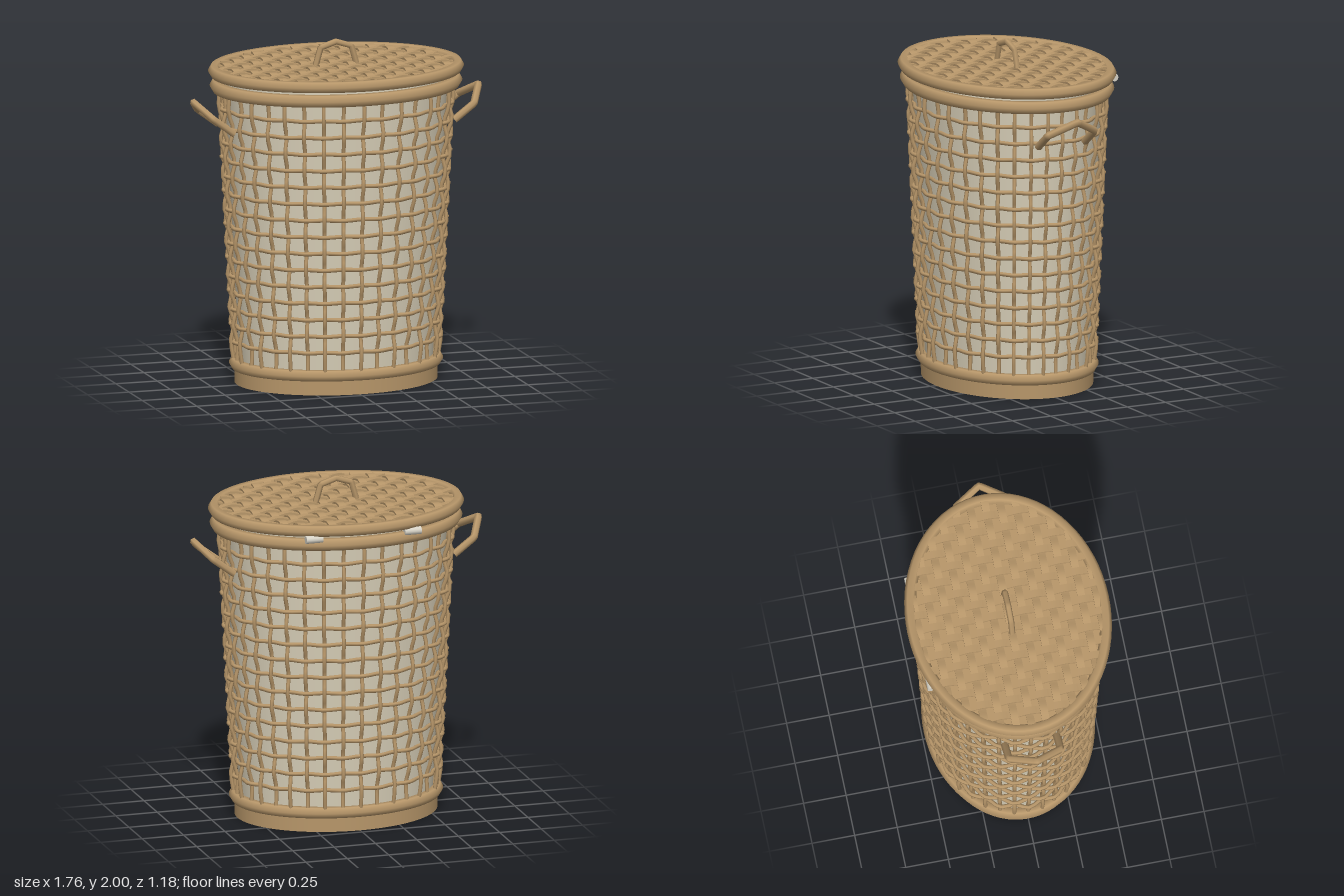
import * as THREE from 'three';
import { mergeGeometries, mergeVertices } from 'three/addons/utils/BufferGeometryUtils.js';

const V = (x, y, z) => new THREE.Vector3(x, y, z);
const RATIO = 0.78;                       // depth of the oval against its width
const STAKES = 36, ROWS = 15, WAVE = 0.012, ROD = 0.012;
const wallX = (y) => 0.592 + 0.052 * y;   // half width of the wicker wall
const rowY = (j) => 0.25 + j * 0.098;
const sign = (n) => (n % 2 === 0 ? 1 : -1);

// point on the oval wall, pushed outwards by off
function wallPoint(a, y, off) {
  const r = wallX(y);
  return V((r + off) * Math.sin(a), y, (r * RATIO + off) * Math.cos(a));
}

// rod with straight runs or a smooth bend
function rod(points, r, segs, closed = false, tension = 0.5) {
  const curve = new THREE.CatmullRomCurve3(points, closed, 'catmullrom', tension);
  return new THREE.TubeGeometry(curve, segs, r, 6, closed);
}

// oval hoop with a six-sided section
function hoop(rx, rz, y, r) {
  const g = new THREE.TorusGeometry(1, r, 6, 72);
  g.rotateX(-Math.PI / 2);
  const p = g.attributes.position;
  for (let i = 0; i < p.count; i++) {
    const x = p.getX(i), z = p.getZ(i), d = Math.hypot(x, z), o = d - 1;
    p.setXYZ(i, (rx + o) * x / d, y + p.getY(i), (rz + o) * z / d);
  }
  g.deleteAttribute('uv');
  g.deleteAttribute('normal');
  const m = mergeVertices(g, 1e-5);
  m.computeVertexNormals();
  return m;
}

// oval drum
function drum(top, bottom, y0, y1, open = false) {
  const g = new THREE.CylinderGeometry(top, bottom, y1 - y0, 72, 1, open);
  g.scale(1, 1, RATIO);
  g.translate(0, (y0 + y1) / 2, 0);
  return g;
}

export function createModel() {
  const group = new THREE.Group();
  const wicker = new THREE.MeshStandardMaterial({ color: 0xb8976a });
  const cloth = new THREE.MeshStandardMaterial({ color: 0xd6cdb6, side: THREE.DoubleSide });
  const metal = new THREE.MeshStandardMaterial({ color: 0xd8d4c8 });
  wicker.name = 'wicker';
  cloth.name = 'liner cloth';
  metal.name = 'pale hinge';
  const add = (name, geometry, material = wicker) => {
    const mesh = new THREE.Mesh(geometry, material);
    mesh.name = name;
    group.add(mesh);
    return mesh;
  };

  // solid foot, cloth liner and the two body hoops
  add('base', drum(0.597, 0.595, 0, 0.12));
  add('liner', drum(wallX(1.75) - 0.03, wallX(0.1) - 0.03, 0.1, 1.75, true), cloth);
  add('lowerRim', hoop(0.593, 0.46, 0.115, 0.035));
  add('upperRim', hoop(0.702, 0.538, 1.745, 0.039));

  // upright stakes, in front of and behind alternate rows
  const stakes = [];
  for (let i = 0; i < STAKES; i++) {
    const a = (i / STAKES) * Math.PI * 2;
    const pts = [wallPoint(a, 0.11, 0)];
    for (let j = 0; j < ROWS; j++) pts.push(wallPoint(a, rowY(j), WAVE * sign(i + j)));
    pts.push(wallPoint(a, 1.74, 0));
    stakes.push(rod(pts, ROD, 34));
  }
  add('stakes', mergeGeometries(stakes));

  // woven rows running round the basket
  const rows = [];
  for (let j = 0; j < ROWS; j++) {
    const pts = [];
    for (let i = 0; i < STAKES; i++) {
      pts.push(wallPoint((i / STAKES) * Math.PI * 2, rowY(j), -WAVE * sign(i + j)));
    }
    rows.push(rod(pts, ROD, 108, true));
  }
  add('wovenRows', mergeGeometries(rows));

  // lid: board, hoop and a flat basket weave on top
  add('lidBoard', drum(0.71, 0.71, 1.805, 1.832));
  add('lidRim', hoop(0.715, 0.556, 1.83, 0.035));
  const strips = [];
  const pitch = 0.087, rx = 0.705, rz = 0.547;
  function strip(k, alongX) {
    const at = k * pitch;
    const [len, wid] = alongX ? [rx, rz] : [rz, rx];
    if (Math.abs(at) > wid - 0.02) return;
    const length = 2 * len * Math.sqrt(1 - (at / wid) ** 2);
    const g = new THREE.BoxGeometry(length, 0.012, 0.044, Math.ceil(length / pitch * 4), 1, 1);
    const p = g.attributes.position;
    const phase = sign(Math.abs(k)) * (alongX ? 1 : -1);
    for (let i = 0; i < p.count; i++) {
      p.setY(i, p.getY(i) + 0.008 * phase * Math.cos(Math.PI * p.getX(i) / pitch));
    }
    g.computeVertexNormals();
    if (!alongX) g.rotateY(Math.PI / 2);
    g.translate(alongX ? 0 : at, 1.845, alongX ? at : 0);
    strips.push(g);
  }
  for (let k = -8; k <= 8; k++) {
    strip(k, true);
    strip(k, false);
  }
  add('lidWeave', mergeGeometries(strips));

  // lid handle
  add('lidHandle', rod([V(-0.125, 1.84, 0), V(-0.093, 1.952, 0), V(0, 1.982, 0),
    V(0.093, 1.952, 0), V(0.125, 1.84, 0)], 0.018, 48, false, 0));

  // side handles and back hinges, mirrored
  for (const s of [1, -1]) {
    const side = s > 0 ? 'left' : 'right';
    add(side + 'Handle', rod([V(s * 0.665, 1.51, 0.152), V(s * 0.785, 1.6, 0.152),
      V(s * 0.86, 1.678, 0), V(s * 0.785, 1.6, -0.152), V(s * 0.665, 1.51, -0.152)],
    0.022, 48, false, 0));
    const hinge = new THREE.CylinderGeometry(0.023, 0.023, 0.1, 12);
    hinge.rotateZ(Math.PI / 2);
    hinge.translate(s * 0.297, 1.783, -0.518);
    add(side + 'Hinge', hinge, metal);
  }
  return group;
}
